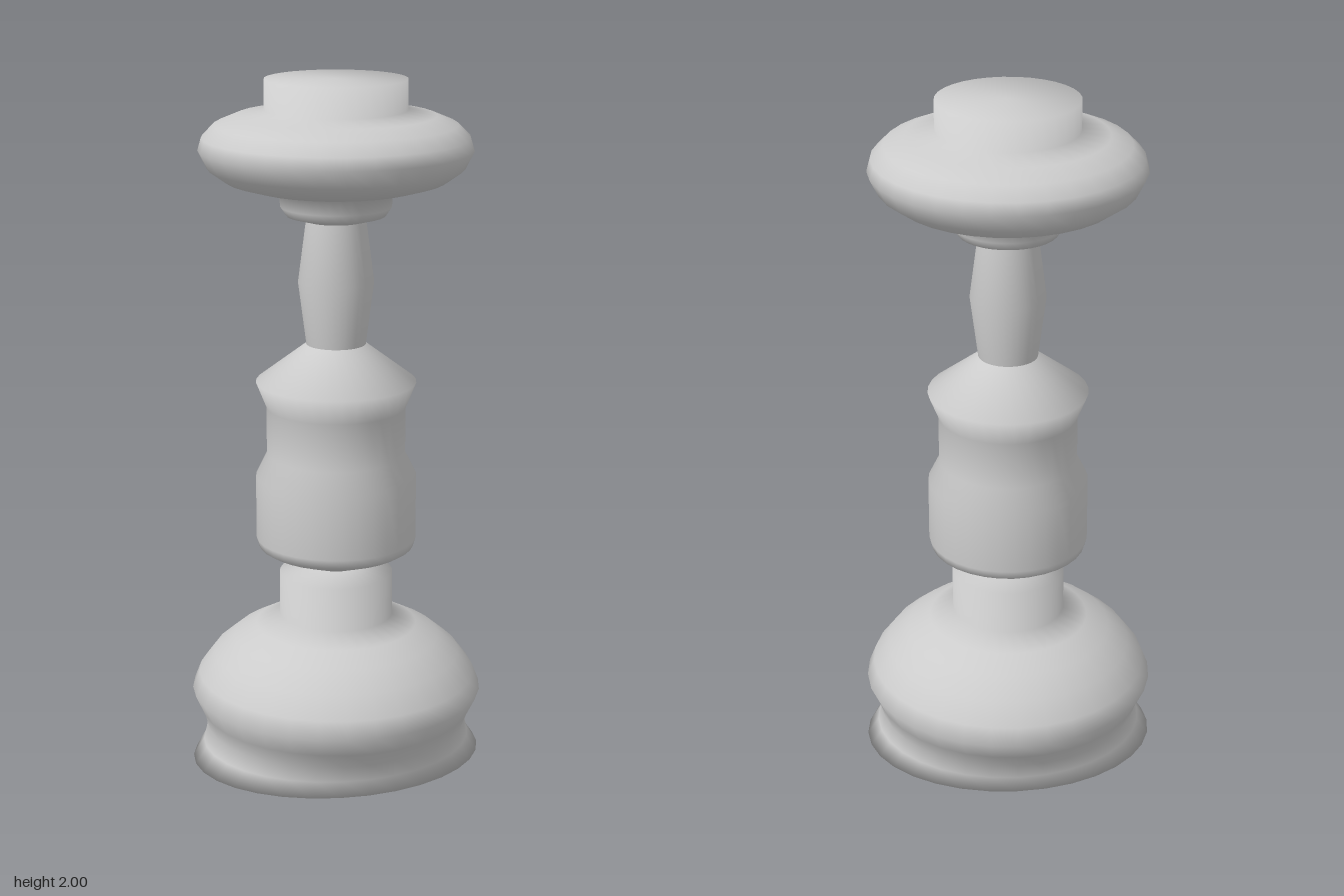
import * as THREE from 'three';
import { mergeVertices } from 'three/addons/utils/BufferGeometryUtils.js';

const SIDES = 32;
const material = new THREE.MeshStandardMaterial({ color: 0xcccccc, side: THREE.DoubleSide });

// Smooth turned part from a bottom-to-top [radius, height] profile;
// an optional rule reshapes each vertex.
function turned(name, profile, reshape) {
  const points = profile.map(([r, y]) => new THREE.Vector2(r, y));
  let geometry = new THREE.LatheGeometry(points, SIDES);
  geometry.deleteAttribute('uv');
  geometry.deleteAttribute('normal');
  if (reshape) {
    const position = geometry.attributes.position;
    const v = new THREE.Vector3();
    for (let i = 0; i < position.count; i++) {
      reshape(v.fromBufferAttribute(position, i));
      position.setXYZ(i, v.x, v.y, v.z);
    }
  }
  geometry = mergeVertices(geometry, 1e-5);
  geometry.computeVertexNormals();
  const mesh = new THREE.Mesh(geometry, material);
  mesh.name = name;
  return mesh;
}

export function createModel() {
  const model = new THREE.Group();
  model.name = 'candlestick';

  // Bulging base with a foot that widens into an oval along x
  model.add(turned('base', [
    [0, 0], [0.345, 0], [0.347, 0.05], [0.36, 0.1], [0.39, 0.15], [0.425, 0.21],
    [0.405, 0.26], [0.36, 0.32], [0.30, 0.37], [0.235, 0.405], [0.165, 0.435],
    [0.165, 0.565], [0.07, 0.585],
  ], (v) => {
    const low = Math.max(0, 1 - v.y / 0.21);
    v.x *= 1 + 0.245 * low * low;
  }));

  // Waisted drum in the middle of the stem
  model.add(turned('drum', [
    [0.07, 0.585], [0.20, 0.635], [0.225, 0.65], [0.232, 0.675], [0.232, 0.86], [0.2, 0.925],
    [0.2, 1.065], [0.23, 1.14], [0.085, 1.25],
  ]));

  // Slender neck
  model.add(turned('neck', [[0.085, 1.25], [0.108, 1.43], [0.085, 1.605]]));

  // Collar, rounded drip pan and candle cup
  model.add(turned('dripPanAndCup', [
    [0.085, 1.605], [0.14, 1.62], [0.157, 1.645], [0.16, 1.69],
    [0.24, 1.7], [0.31, 1.72], [0.36, 1.755], [0.385, 1.805], [0.375, 1.84],
    [0.34, 1.875], [0.28, 1.9], [0.2, 1.915], [0.2, 2], [0, 2],
  ]));

  return model;
}
